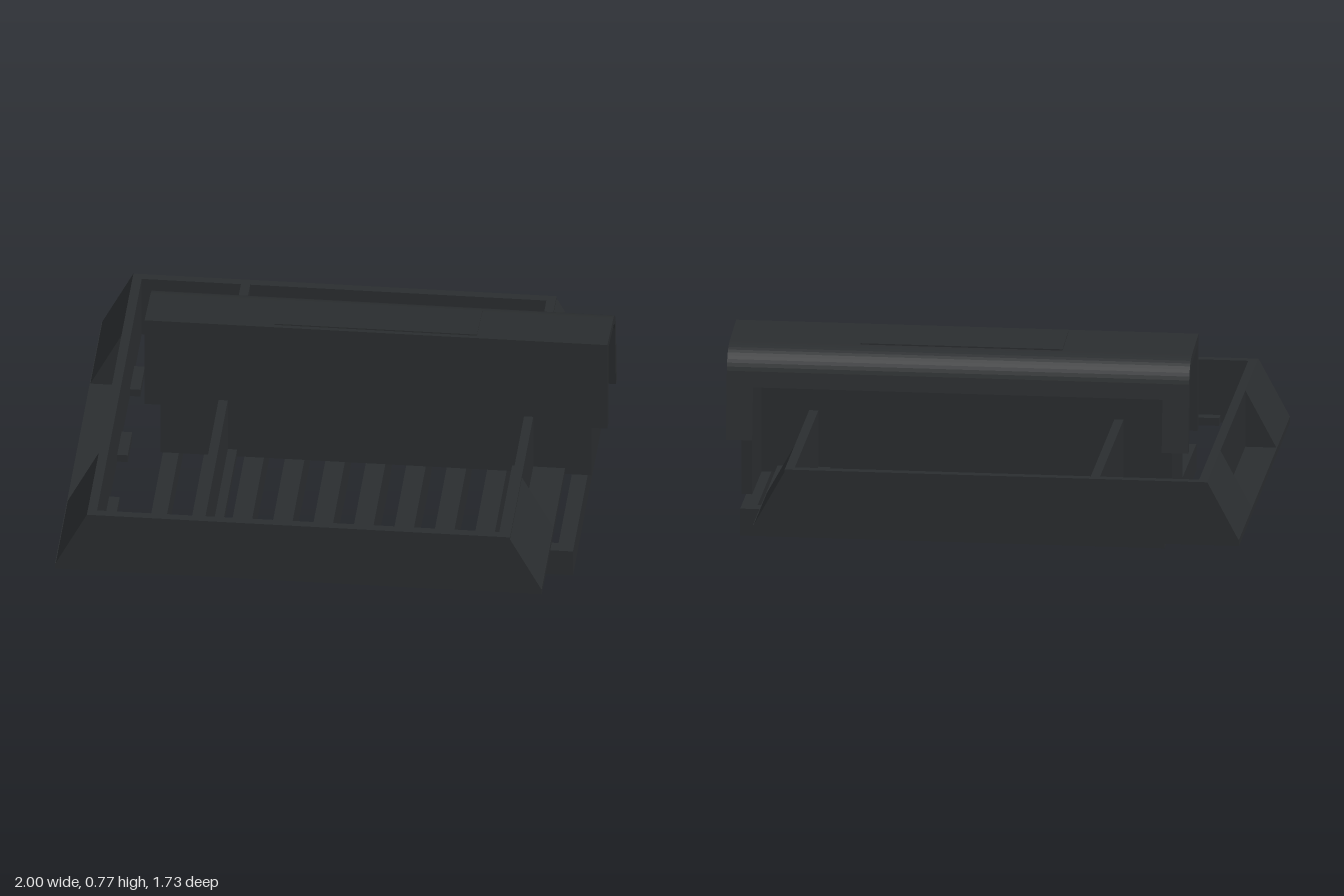
import * as THREE from 'three';

const mat = new THREE.MeshStandardMaterial({ color: 0x2a2d2f, side: THREE.DoubleSide });

function add(parent, name, geometry) {
  const mesh = new THREE.Mesh(geometry, mat);
  mesh.name = name;
  parent.add(mesh);
  return mesh;
}

// Box given by its limits on each axis
function box(parent, name, x0, x1, y0, y1, z0, z1) {
  const m = add(parent, name, new THREE.BoxGeometry(x1 - x0, y1 - y0, z1 - z0));
  m.position.set((x0 + x1) / 2, (y0 + y1) / 2, (z0 + z1) / 2);
  return m;
}

// Extrude a (depth, height) outline along x; depth runs towards -z
function alongX(parent, name, shape, x0, x1) {
  const g = new THREE.ExtrudeGeometry(shape, { depth: x1 - x0, bevelEnabled: false, curveSegments: 10 });
  g.rotateY(Math.PI / 2);
  g.translate(x0, 0, 0);
  return add(parent, name, g);
}

const polygon = pts => new THREE.Shape(pts.map(p => new THREE.Vector2(...p)));

function buildFrame() {
  const f = new THREE.Group();
  f.name = 'frame';
  const y0 = 0.19, y1 = 0.435, ledge = 0.22;

  for (const s of [-1, 1]) {
    const span = (a, b) => (s > 0 ? [a, b] : [-b, -a]);
    // front and back walls, with ledges for the grate opening
    box(f, 'endWall', -0.88, 0.72, y0, y1, ...span(0.83, 0.865));
    box(f, 'endLedge', -0.47, 0.72, y0, ledge, ...span(0.77, 0.84));
    box(f, 'endLug', -0.74, -0.575, y0, ledge, ...span(0.785, 0.84));

    // sloped corner blocks outside each side wall
    for (const [inner, outer] of [[-0.88, -1], [0.715, 0.84]]) {
      const g = new THREE.ExtrudeGeometry(
        polygon([[inner, y0], [outer, y0], [outer, y0 + 0.02], [inner, y1]]),
        { depth: 0.445, bevelEnabled: false });
      g.translate(0, 0, s > 0 ? 0.42 : -0.865);
      add(f, 'cornerBlock', g);
    }
  }

  // side flanges, walls and the dividing beam
  box(f, 'rightFlange', -1, -0.845, y0, 0.215, -0.865, 0.865);
  box(f, 'leftFlange', 0.64, 0.84, y0, 0.215, -0.865, 0.865);
  box(f, 'rightWall', -0.88, -0.845, y0, y1, -0.865, 0.865);
  box(f, 'leftWall', 0.685, 0.72, y0, y1, -0.865, 0.865);
  box(f, 'beamWall', -0.47, -0.435, y0, y1, -0.84, 0.84);
  box(f, 'beamLedge', -0.47, -0.4, y0, ledge, -0.84, 0.84);
  for (const z of [-0.47, 0, 0.465]) box(f, 'sideLug', -0.85, -0.805, y0, ledge, z - 0.083, z + 0.083);
  return f;
}

function buildGrate() {
  const g = new THREE.Group();
  g.name = 'grate';
  const cx = 0.122, half = 0.803;

  // rim with rectangular opening
  const rim = polygon([[cx - half, -0.54], [cx + half, -0.54], [cx + half, 0.54], [cx - half, 0.54]]);
  const a = half - 0.06;
  rim.holes.push(new THREE.Path([[cx - a, -0.485], [cx - a, 0.485], [cx + a, 0.485], [cx + a, -0.485]]
    .map(p => new THREE.Vector2(...p))));
  const rg = new THREE.ExtrudeGeometry(rim, { depth: 0.105, bevelEnabled: false });
  rg.rotateX(-Math.PI / 2);
  rg.translate(0, 0.08, 0);
  add(g, 'grateRim', rg);

  // bars with bellied undersides, deepest in the middle
  for (let k = -4; k <= 4; k++) {
    const low = [0, 0.013, 0.03, 0.047, 0.07][Math.abs(k)];
    const mid = low + (0.08 - low) * 0.28;
    const x = cx + k * 0.153;
    alongX(g, 'grateBar', polygon([
      [-0.5, 0.18], [-0.5, 0.08], [-0.25, mid], [-0.1, low + 0.005], [0, low],
      [0.1, low + 0.005], [0.25, mid], [0.5, 0.08], [0.5, 0.18]]), x - 0.037, x + 0.037);
  }
  return g;
}

// Full hood outline, down to a chosen base height
function hoodOutline(base) {
  const s = new THREE.Shape();
  s.moveTo(0, base);
  s.lineTo(0, 0.77);
  s.lineTo(0.22, 0.75);
  s.quadraticCurveTo(0.305, 0.74, 0.32, 0.66);
  s.lineTo(0.355, 0.4);
  if (base < 0.4) s.lineTo(0.355, base);
  return s;
}

// Thin hood outline: front plate, roof and a back lip of given depth
function shellOutline(lipY, lipD) {
  const s = new THREE.Shape();
  s.moveTo(0, 0.4);
  s.lineTo(0, 0.77);
  s.lineTo(0.22, 0.75);
  s.quadraticCurveTo(0.305, 0.74, 0.32, 0.66);
  s.lineTo(lipD, lipY);
  s.lineTo(lipD - 0.035, lipY);
  s.lineTo(0.285, 0.66);
  s.quadraticCurveTo(0.28, 0.71, 0.22, 0.715);
  s.lineTo(0.035, 0.735);
  s.lineTo(0.035, 0.4);
  return s;
}

function buildHood() {
  const h = new THREE.Group();
  h.name = 'curbHood';
  alongX(h, 'hoodShell', shellOutline(0.6, 0.328), -0.66, 0.91);
  box(h, 'hoodLowerPlate', -0.69, 0.94, 0.19, 0.4, -0.035, 0);
  // closed ends set back inside an overhanging rim
  for (const [rim, wall] of [[[-0.75, -0.66], [-0.69, -0.65]], [[0.91, 1], [0.9, 0.94]]]) {
    alongX(h, 'hoodEndRim', shellOutline(0.4, 0.355), ...rim);
    alongX(h, 'hoodEndWall', hoodOutline(0.19), ...wall);
  }
  // plain raised panel on the roof
  alongX(h, 'roofPanel', polygon([[0.02, 0.76], [0.02, 0.773], [0.22, 0.755], [0.22, 0.74]]), -0.26, 0.505);
  return h;
}

export function createModel() {
  const model = new THREE.Group();
  model.name = 'stormDrainInlet';
  model.add(buildFrame(), buildGrate(), buildHood());
  return model;
}
